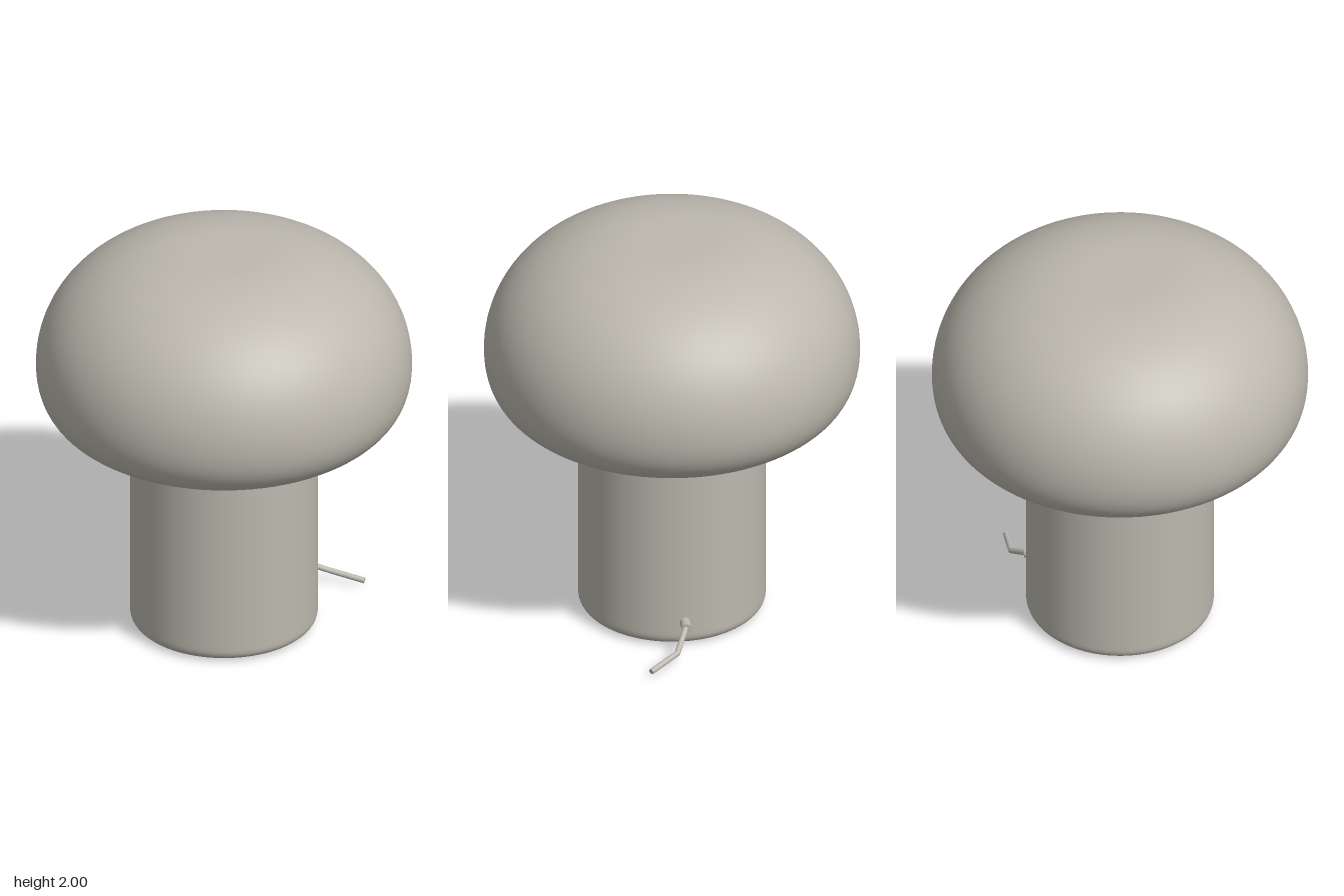
import * as THREE from 'three';

const stone = new THREE.MeshStandardMaterial({ color: 0xbcb8ae });
stone.name = 'warm grey';

const V2 = (x, y) => new THREE.Vector2(x, y);
const V3 = (x, y, z) => new THREE.Vector3(x, y, z);

function add(group, name, geometry) {
  const mesh = new THREE.Mesh(geometry, stone);
  mesh.name = name;
  group.add(mesh);
  return mesh;
}

// Straight round rod between two points
function rod(group, name, a, b, radius) {
  const dir = b.clone().sub(a);
  const mesh = add(group, name, new THREE.CylinderGeometry(radius, radius, dir.length(), 20));
  mesh.position.copy(a).add(b).multiplyScalar(0.5);
  mesh.quaternion.setFromUnitVectors(V3(0, 1, 0), dir.normalize());
  return mesh;
}

export function createModel() {
  const lamp = new THREE.Group();
  lamp.name = 'mushroomLamp';

  // Domed shade, profile drawn from the underside up to the crown
  const lower = new THREE.CubicBezierCurve(V2(0.45, 1.05), V2(0.76, 1.05), V2(0.9, 1.16), V2(0.9, 1.39));
  const upper = new THREE.CubicBezierCurve(V2(0.9, 1.39), V2(0.9, 1.72), V2(0.62, 2), V2(0.18, 2));
  const shade = [V2(0, 1.05), ...lower.getPoints(20), ...upper.getPoints(28).slice(1), V2(0, 2)];
  add(lamp, 'shade', new THREE.LatheGeometry(shade, 96));

  // Cylindrical base with a rounded foot
  const foot = new THREE.QuadraticBezierCurve(V2(0.37, 0), V2(0.45, 0), V2(0.45, 0.06));
  const base = [V2(0, 0), V2(0.36, 0), ...foot.getPoints(8), V2(0.45, 0.08), V2(0.45, 1.06)];
  add(lamp, 'base', new THREE.LatheGeometry(base, 96));

  // Cable at the back: sleeve, then two straight lengths with a bend
  const exit = V3(0, 0.13, -0.49), bend = V3(0.06, 0.06, -0.615), end = V3(0.2, 0.027, -0.715);
  rod(lamp, 'cableSleeve', V3(0, 0.135, -0.42), V3(0, 0.128, -0.505), 0.025);
  rod(lamp, 'cableUpper', exit, bend, 0.014);
  rod(lamp, 'cableLower', bend, end, 0.014);
  add(lamp, 'cableBend', new THREE.SphereGeometry(0.014, 16, 12)).position.copy(bend);

  return lamp;
}
